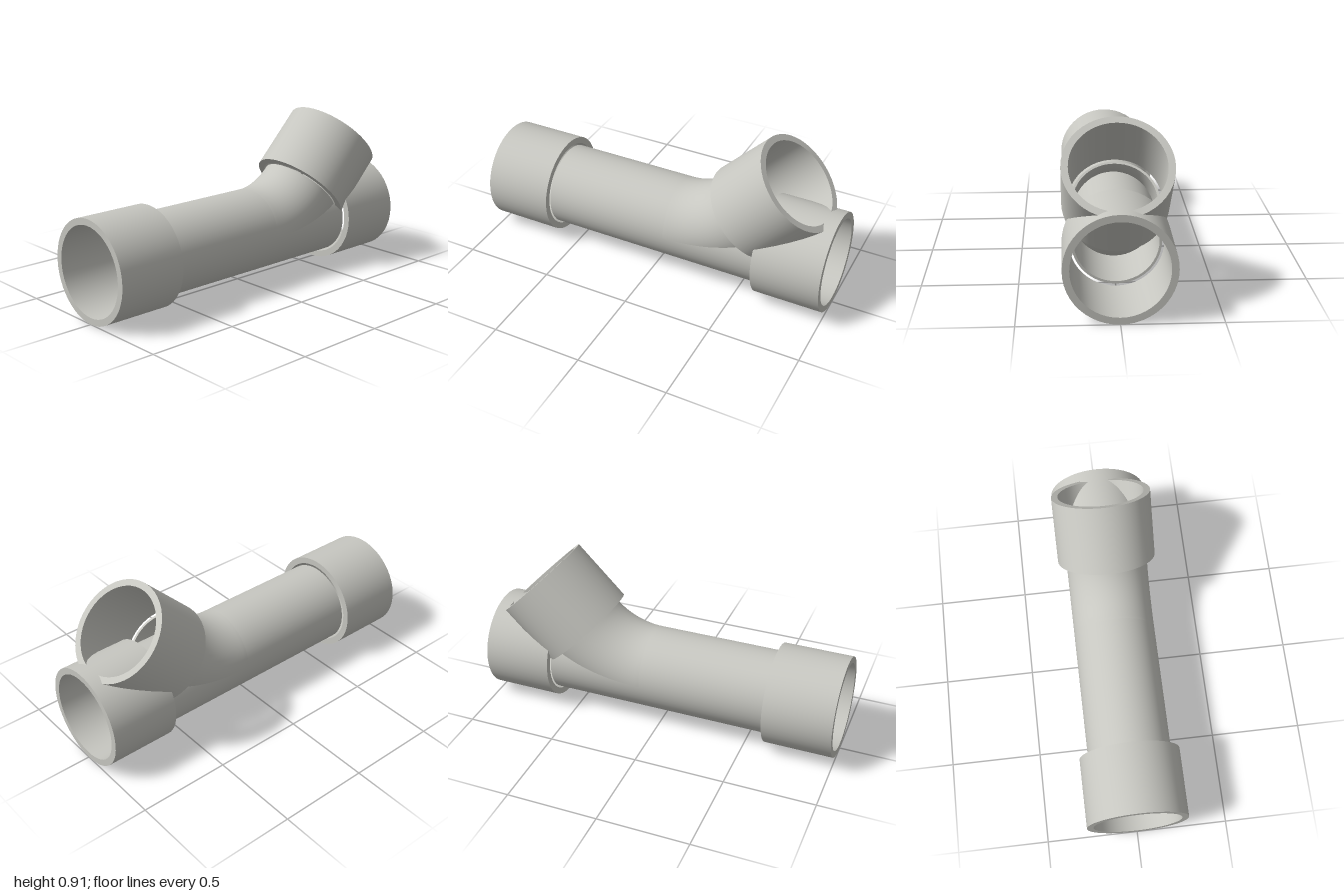
import * as THREE from 'three';
import { toCreasedNormals } from 'three/addons/utils/BufferGeometryUtils.js';

const AXIS_Y = 0.2765;                       // height of the main bore axis
const SOCKET = { outer: 0.2755, inner: 0.24 };
const PIPE = { outer: 0.2285, inner: 0.216 };
const SOCKET_LENGTH = 0.378;
const BEND_RADIUS = 0.572;
const BEND_START = 0.09;
const BEND_ANGLE = Math.PI / 4;

// Hollow pipe along +x starting at the origin, with an optional bend towards +y
function pipeGeometry({ outer, inner }, length, rows = 1, bendRadius = 0) {
  const profile = [];
  for (let i = 0; i <= rows; i++) profile.push(new THREE.Vector2(outer, (length * i) / rows));
  for (let i = rows; i >= 0; i--) profile.push(new THREE.Vector2(inner, (length * i) / rows));
  profile.push(profile[0].clone());
  const geometry = new THREE.LatheGeometry(profile, 48);
  geometry.rotateZ(-Math.PI / 2);

  if (bendRadius) {
    const pos = geometry.attributes.position;
    for (let i = 0; i < pos.count; i++) {
      const angle = pos.getX(i) / bendRadius;
      const r = bendRadius - pos.getY(i);
      pos.setXY(i, r * Math.sin(angle), bendRadius - r * Math.cos(angle));
    }
  }
  return toCreasedNormals(geometry, Math.PI / 5);
}

export function createModel() {
  const group = new THREE.Group();
  const plastic = new THREE.MeshStandardMaterial({ color: 0xc6c6c0 });
  plastic.name = 'greyPlastic';

  const add = (name, geometry, x, y, tilt = 0) => {
    const mesh = new THREE.Mesh(geometry, plastic);
    mesh.name = name;
    mesh.position.set(x, y, 0);
    mesh.rotation.z = tilt;
    group.add(mesh);
  };

  // Straight run with a loose, wider socket at each end
  const pipeEnd = 1 - SOCKET_LENGTH;
  add('mainPipe', pipeGeometry(PIPE, 2 * pipeEnd), -pipeEnd, AXIS_Y);
  const socket = pipeGeometry(SOCKET, SOCKET_LENGTH);
  add('rightSocket', socket, -1, AXIS_Y);
  add('leftSocket', socket, pipeEnd, AXIS_Y);

  // Branch elbow rising out of the run, ending in a tilted socket
  add('branchElbow', pipeGeometry(PIPE, BEND_RADIUS * BEND_ANGLE, 16, BEND_RADIUS), BEND_START, AXIS_Y);
  add('branchSocket', socket,
    BEND_START + BEND_RADIUS * Math.sin(BEND_ANGLE),
    AXIS_Y + BEND_RADIUS * (1 - Math.cos(BEND_ANGLE)),
    BEND_ANGLE);

  return group;
}
